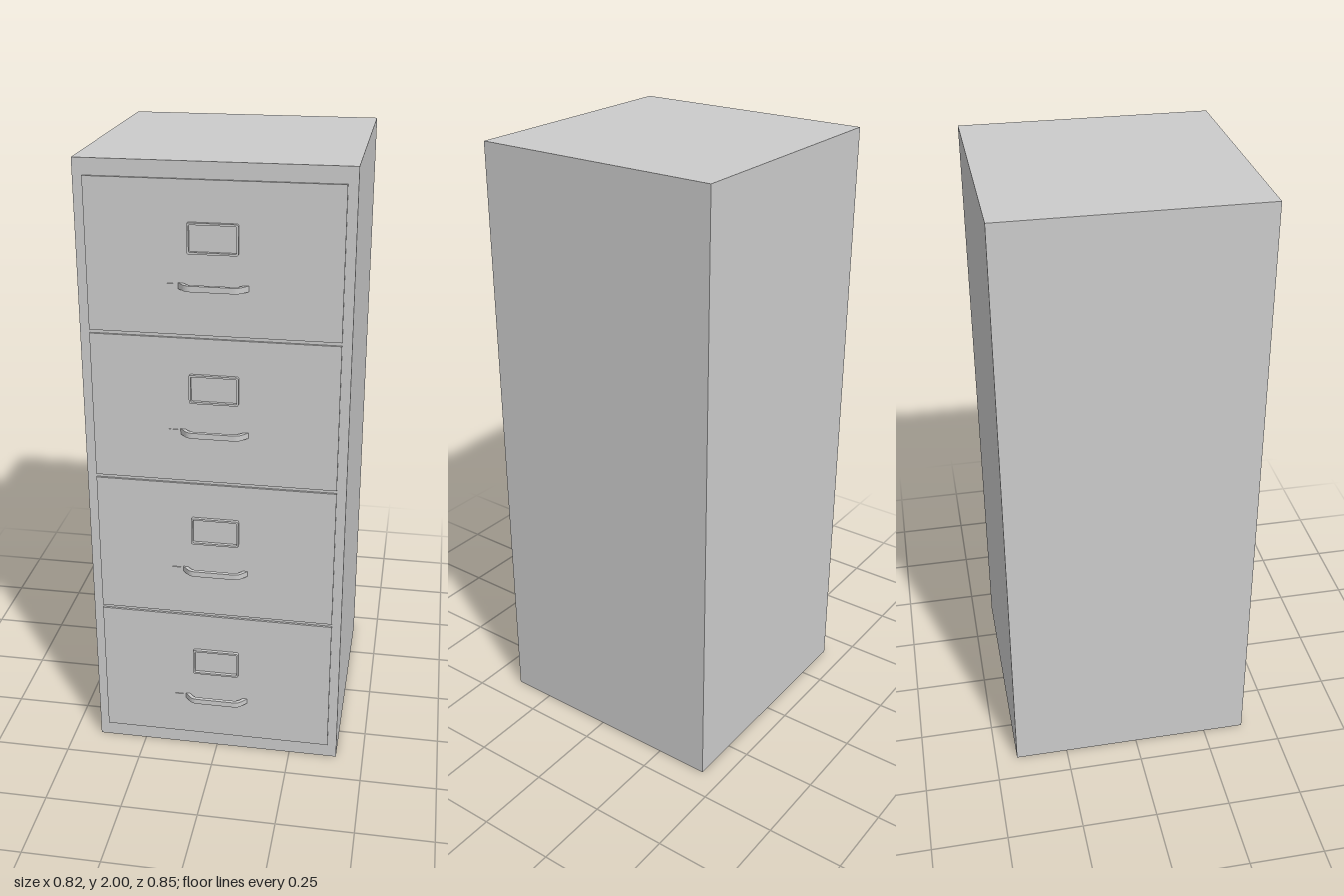
import * as THREE from 'three';

const material = new THREE.MeshStandardMaterial({ color: 0xcccccc });
const FACE = 0.397; // z of the drawer fronts

function add(parent, name, geometry, x, y, z) {
  const mesh = new THREE.Mesh(geometry, material);
  mesh.name = name;
  mesh.position.set(x, y, z);
  parent.add(mesh);
  return mesh;
}

// Rectangle with rounded corners, centred on the origin
function roundedRect(path, w, h, r) {
  const x = w / 2, y = h / 2;
  path.moveTo(-x + r, -y);
  path.lineTo(x - r, -y);
  path.quadraticCurveTo(x, -y, x, -y + r);
  path.lineTo(x, y - r);
  path.quadraticCurveTo(x, y, x - r, y);
  path.lineTo(-x + r, y);
  path.quadraticCurveTo(-x, y, -x, y - r);
  path.lineTo(-x, -y + r);
  path.quadraticCurveTo(-x, -y, -x + r, -y);
  return path;
}

// Open label frame
function labelFrameGeometry() {
  const shape = roundedRect(new THREE.Shape(), 0.152, 0.092, 0.007);
  shape.holes.push(roundedRect(new THREE.Path(), 0.14, 0.08, 0.004));
  return new THREE.ExtrudeGeometry(shape, { depth: 0.011, bevelEnabled: false, curveSegments: 4 });
}

// Bowed strip handle: outline drawn from above, extruded upwards
function handleGeometry() {
  const s = new THREE.Shape();
  s.moveTo(-0.105, 0);
  s.lineTo(-0.088, 0.019);
  s.quadraticCurveTo(-0.078, 0.03, -0.062, 0.03);
  s.lineTo(0.062, 0.03);
  s.quadraticCurveTo(0.078, 0.03, 0.088, 0.019);
  s.lineTo(0.105, 0);
  s.lineTo(0.09, 0);
  s.lineTo(0.078, 0.012);
  s.quadraticCurveTo(0.071, 0.018, 0.06, 0.018);
  s.lineTo(-0.06, 0.018);
  s.quadraticCurveTo(-0.071, 0.018, -0.078, 0.012);
  s.lineTo(-0.09, 0);
  s.closePath();
  const height = 0.018;
  const g = new THREE.ExtrudeGeometry(s, { depth: height, bevelEnabled: false, curveSegments: 6 });
  return g.rotateX(Math.PI / 2).translate(0, height / 2, 0);
}

export function createModel() {
  const cabinet = new THREE.Group();
  cabinet.name = 'filingCabinet';

  // Cabinet shell
  add(cabinet, 'body', new THREE.BoxGeometry(0.82, 2, 0.817), 0, 1, -0.0185);

  const frame = labelFrameGeometry();
  const handle = handleGeometry();
  const latch = new THREE.BoxGeometry(0.028, 0.005, 0.004);

  // Four drawers: bottom edge, top edge, handle height
  const drawers = [
    [0.05, 0.517, 0.197],
    [0.528, 0.997, 0.69],
    [1.008, 1.477, 1.174],
    [1.488, 1.95, 1.638],
  ];
  drawers.forEach(([bottom, top, grip], i) => {
    const drawer = new THREE.Group();
    drawer.name = `drawer${i + 1}`;
    cabinet.add(drawer);
    add(drawer, 'drawerFront', new THREE.BoxGeometry(0.76, top - bottom, 0.017), 0, (top + bottom) / 2, FACE - 0.0085);
    add(drawer, 'labelFrame', frame, 0, grip + 0.144, FACE);
    add(drawer, 'handle', handle, 0, grip, FACE);
    add(drawer, 'latch', latch, -0.127, grip + 0.004, FACE + 0.001);
  });

  return cabinet;
}
